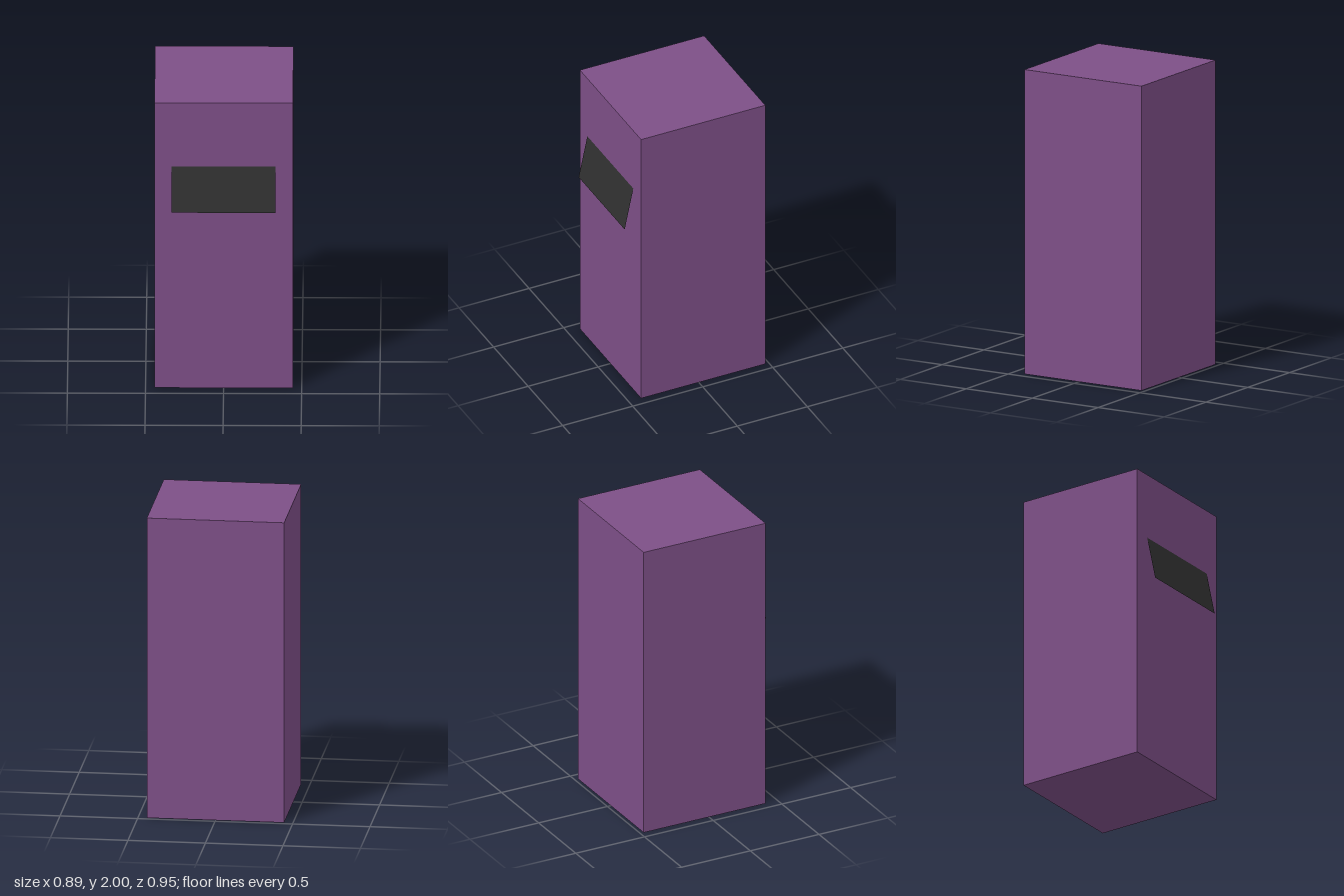
import * as THREE from 'three';

export function createModel() {
  const model = new THREE.Group();

  // Tall square cabinet, set back slightly to leave room for the panel
  const body = new THREE.Mesh(
    new THREE.BoxGeometry(0.886, 2, 0.887),
    new THREE.MeshStandardMaterial({ color: 0x7d4f87 })
  );
  body.name = 'cabinetBody';
  body.position.set(0, 1, -0.0315);
  model.add(body);

  // Thin dark panel: top edge rests on the front face, bottom edge leans out
  const rise = 0.298, lean = 0.062;
  const panel = new THREE.Mesh(
    new THREE.PlaneGeometry(0.666, Math.hypot(rise, lean)),
    new THREE.MeshStandardMaterial({ color: 0x303030, side: THREE.DoubleSide })
  );
  panel.name = 'tiltedPanel';
  panel.position.set(0, 1.406, 0.444);
  panel.rotation.x = -Math.atan2(lean, rise);
  model.add(panel);

  return model;
}
